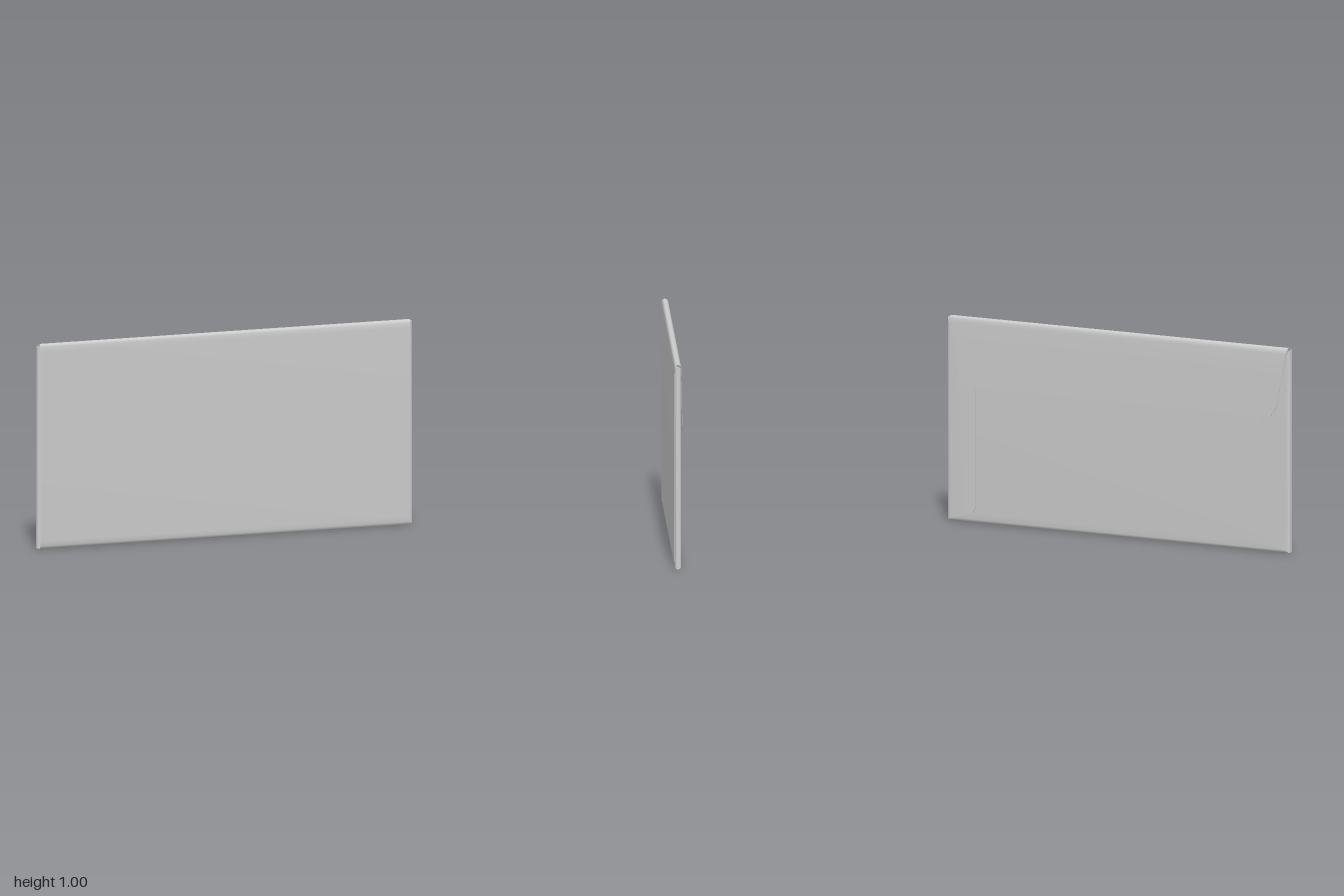
import * as THREE from 'three';
import { toCreasedNormals } from 'three/addons/utils/BufferGeometryUtils.js';

const T = 0.002; // paper thickness
const paper = new THREE.MeshStandardMaterial({ color: 0xcccccc, side: THREE.DoubleSide });

// Folded sheet. Each row is [u, z, from, to]: a point of the fold profile and
// the span of the sheet across it. place(u, w, z) gives the position.
function foldedSheet(name, rows, place, flip) {
  const loops = rows.map(([u, z, from, to], i) => {
    const p = rows[Math.max(i - 1, 0)], n = rows[Math.min(i + 1, rows.length - 1)];
    const du = n[0] - p[0], dz = n[1] - p[1], len = Math.hypot(du, dz);
    const iu = u - (dz / len) * T, iz = z + (du / len) * T;
    return [place(u, from, z), place(u, to, z), place(iu, to, iz), place(iu, from, iz)];
  });
  const pos = [];
  const tri = (a, b, c) => {
    for (const v of flip ? [a, c, b] : [a, b, c]) pos.push(...v);
  };
  const quad = (a, b, c, d) => { tri(a, b, c); tri(a, c, d); };
  for (let i = 0; i < loops.length - 1; i++) {
    for (let k = 0; k < 4; k++) {
      const m = (k + 1) % 4;
      quad(loops[i][k], loops[i + 1][k], loops[i + 1][m], loops[i][m]);
    }
  }
  const [s, e] = [loops[0], loops[loops.length - 1]];
  quad(s[0], s[1], s[2], s[3]);
  quad(e[3], e[2], e[1], e[0]);
  const geo = new THREE.BufferGeometry();
  geo.setAttribute('position', new THREE.Float32BufferAttribute(pos, 3));
  const mesh = new THREE.Mesh(toCreasedNormals(geo, 0.9), paper);
  mesh.name = name;
  return mesh;
}

export function createModel() {
  const group = new THREE.Group();
  group.name = 'envelope';

  // Main sheet: closing flap, over the top fold, down the front, up the back
  const main = [
    // closing flap with rounded corners
    [0.655, -0.019, 0.845], [0.658, -0.019, 0.875], [0.665, -0.0188, 0.895],
    [0.678, -0.0185, 0.912], [0.70, -0.018, 0.924], [0.73, -0.0173, 0.931],
    [0.85, -0.0148, 0.957], [0.97, -0.0122, 0.98], [0.987, -0.0108, 0.985],
    // top fold
    [0.996, -0.006, 0.987], [1, 0.002, 0.987], [1, 0.010, 0.987],
    [0.996, 0.017, 0.987], [0.985, 0.0205, 0.987],
    // front panel
    [0.96, 0.021, 0.987], [0.04, 0.021, 0.987], [0.015, 0.0205, 0.987],
    // bottom fold
    [0.004, 0.017, 0.987], [0, 0.010, 0.987], [0, 0, 0.987],
    [0.004, -0.005, 0.987], [0.015, -0.0068, 0.987],
    // back panel, ending under the flap
    [0.05, -0.007, 0.985], [0.9, -0.007, 0.985],
  ].map(([y, z, w]) => [y, z, -w, w]);
  group.add(foldedSheet('mainSheet', main, (y, x, z) => [x, y, z], false));

  // Side flaps, folded round from the front onto the back panel
  const side = [
    [0.833, -0.0100, 0.085, 0.96], [0.837, -0.0102, 0.065, 0.96],
    [0.846, -0.0103, 0.051, 0.96], [0.862, -0.0103, 0.042, 0.96],
    [0.97, -0.0103, 0.014, 0.965], [0.985, -0.0100, 0.009, 0.97],
    [0.996, -0.0075, 0.006, 0.985], [1, -0.002, 0.004, 0.99],
    [1, 0.010, 0.004, 0.994], [0.997, 0.017, 0.006, 0.994],
    [0.986, 0.0208, 0.012, 0.988],
  ];
  for (const [name, s] of [['leftSideFlap', 1], ['rightSideFlap', -1]]) {
    group.add(foldedSheet(name, side, (x, y, z) => [s * x, y, z], s > 0));
  }
  return group;
}
